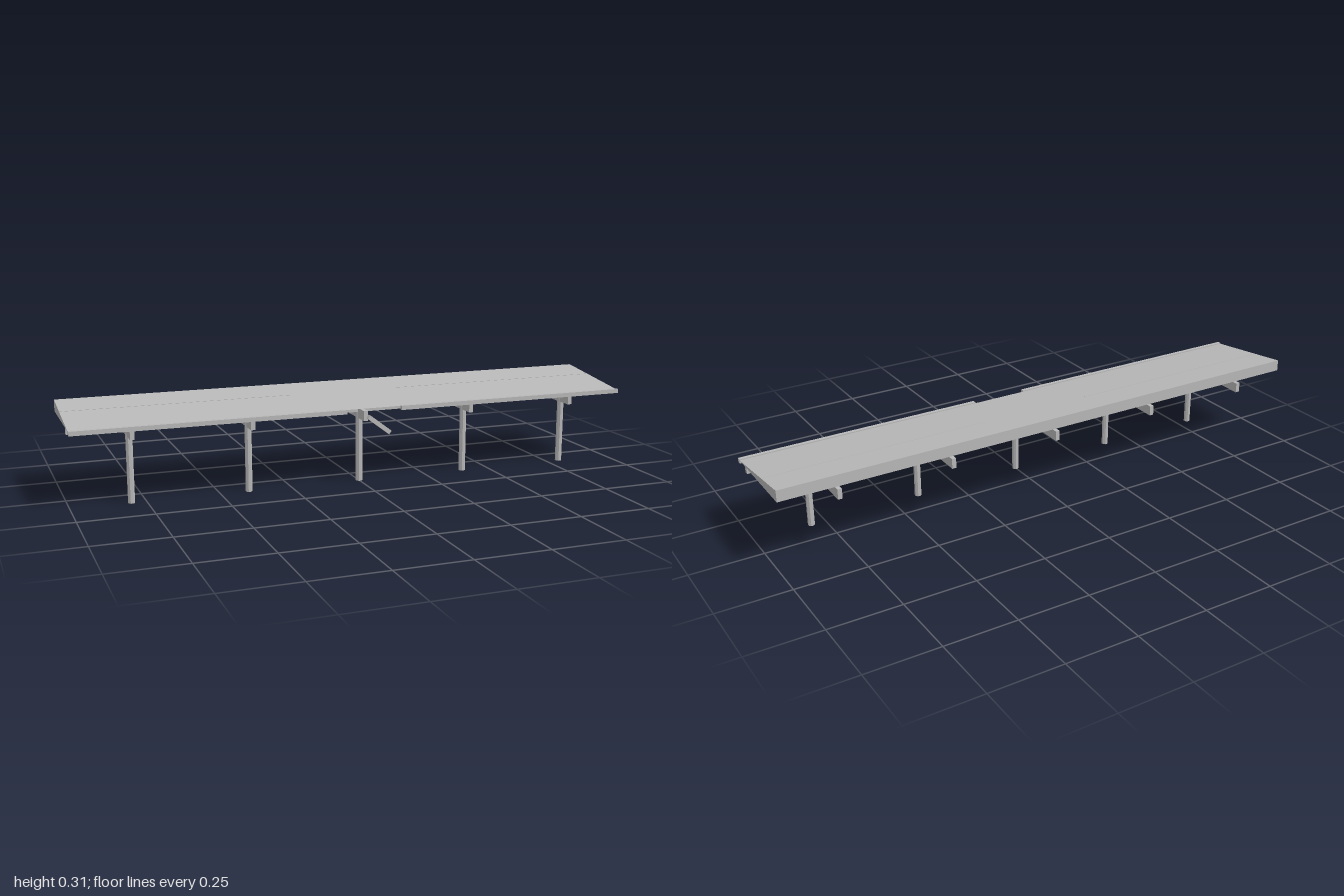
import * as THREE from 'three';

export function createModel() {
  const model = new THREE.Group();
  model.name = 'platformCanopy';
  const grey = new THREE.MeshStandardMaterial({ color: 0xb8b8b8 });
  grey.name = 'light grey';

  function add(name, geometry, x, y, z) {
    const mesh = new THREE.Mesh(geometry, grey);
    mesh.name = name;
    mesh.position.set(x, y, z);
    model.add(mesh);
    return mesh;
  }

  // Box given by its limits on each axis
  const box = (name, x0, x1, y0, y1, z0, z1) =>
    add(name, new THREE.BoxGeometry(x1 - x0, y1 - y0, z1 - z0),
      (x0 + x1) / 2, (y0 + y1) / 2, (z0 + z1) / 2);

  // Roof: five wedge sections, rising towards the back
  const front = 0.155, back = -0.177, low = 0.268, high = 0.308, bay = 0.4;
  const profile = new THREE.Shape();
  profile.moveTo(front, low);
  profile.lineTo(back, high);
  profile.lineTo(back, low);
  profile.closePath();
  const wedge = new THREE.ExtrudeGeometry(profile, { depth: bay, bevelEnabled: false });
  wedge.rotateY(-Math.PI / 2);
  for (let i = 0; i < 5; i++) add('roofSection', wedge, -1 + bay * (i + 1), 0, 0);

  // Thin seam strips along the outer roof sections
  const slope = Math.atan2(high - low, front - back);
  for (const side of [-1, 1]) {
    const seam = add('roofSeam', new THREE.BoxGeometry(0.8, 0.001, 0.006), side * 0.6,
      low + (front + 0.047) * Math.tan(slope) + 0.0004, -0.047);
    seam.rotation.x = slope;
  }

  // Gutter, broken in the middle, and the purlin over the posts
  box('gutter', -1, -0.07, 0.256, 0.271, 0.156, 0.17);
  box('gutter', 0.13, 1, 0.256, 0.271, 0.156, 0.17);
  box('purlin', -1, 1, 0.247, 0.273, 0.09, 0.105);

  // Eight-sided posts, each with a cross beam
  const post = new THREE.CylinderGeometry(0.0118, 0.0118, 0.25, 8).toNonIndexed();
  post.rotateY(Math.PI / 8);
  post.computeVertexNormals();
  for (let i = -2; i <= 2; i++) {
    const x = i * bay;
    add('post', post, x, 0.125, 0.097);
    box('crossBeam', x - 0.0075, x + 0.0075, 0.226, 0.261, -0.184, 0.162);
  }

  // Slanted signal arm in front of the middle post
  const arm = add('signalArm', new THREE.BoxGeometry(0.099, 0.015, 0.016), 0.042, 0.214, 0.178);
  arm.rotation.z = -0.65;

  return model;
}
